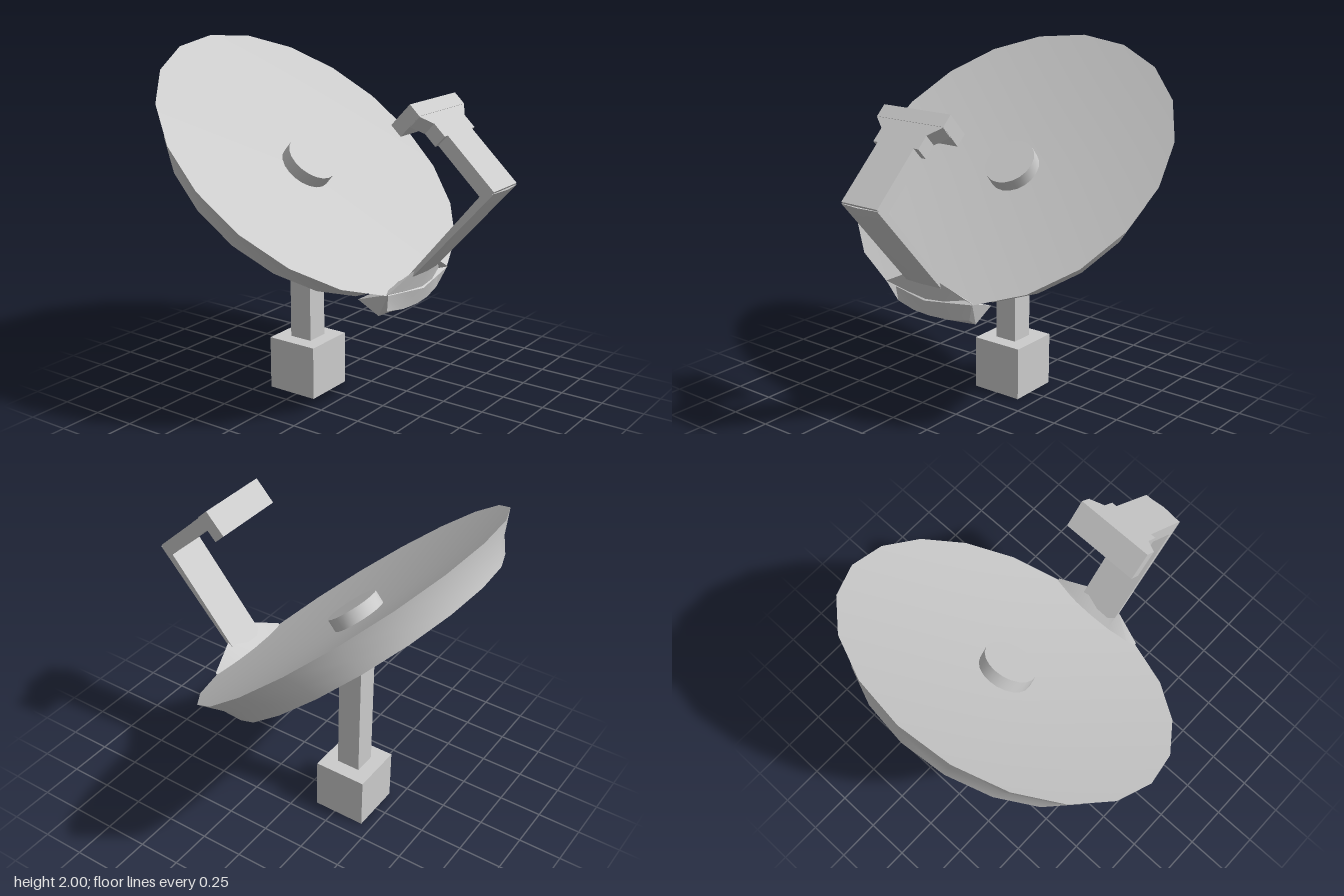
import * as THREE from 'three';
import { toCreasedNormals } from 'three/addons/utils/BufferGeometryUtils.js';

const material = new THREE.MeshStandardMaterial({ color: 0xcccccc });
const TILT = 0.704; // dish axis leans from +y towards +z

function add(parent, name, geometry, x = 0, y = 0, z = 0) {
  const mesh = new THREE.Mesh(geometry, material);
  mesh.name = name;
  mesh.position.set(x, y, z);
  parent.add(mesh);
  return mesh;
}

// Skin between equal-length cross-sections of [x, y, z], running from -x to +x
function loft(sections) {
  const verts = [];
  const tri = (...pts) => pts.forEach(p => verts.push(...p));
  const n = sections[0].length;
  for (let k = 0; k < sections.length - 1; k++) {
    const s = sections[k], t = sections[k + 1];
    for (let i = 0; i < n; i++) {
      const j = (i + 1) % n;
      tri(s[i], s[j], t[j]);
      tri(s[i], t[j], t[i]);
    }
  }
  const first = sections[0], last = sections[sections.length - 1];
  for (let i = 1; i < n - 1; i++) {
    tri(first[0], first[i + 1], first[i]);
    tri(last[0], last[i], last[i + 1]);
  }
  const geometry = new THREE.BufferGeometry();
  geometry.setAttribute('position', new THREE.Float32BufferAttribute(verts, 3));
  geometry.computeVertexNormals();
  return toCreasedNormals(geometry, 0.5);
}

// Mirror half a set of sections (ordered from the middle outwards)
function mirrored(half) {
  const flip = half.slice(1).reverse().map(s => s.map(([x, y, z]) => [-x, y, z]));
  return [...flip, ...half];
}

export function createModel() {
  const model = new THREE.Group();
  model.name = 'satelliteDish';

  // Base block and post, the post cut to the slope of the dish back
  add(model, 'base', new THREE.BoxGeometry(0.31, 0.31, 0.31), 0, 0.155, -0.28);
  const postGeometry = new THREE.BoxGeometry(0.135, 0.87, 0.14);
  const p = postGeometry.attributes.position;
  for (let i = 0; i < p.count; i++) {
    if (p.getY(i) > 0) p.setY(i, p.getY(i) - p.getZ(i) * 0.85);
  }
  postGeometry.computeVertexNormals();
  add(model, 'post', postGeometry, 0, 0.735, -0.28);

  // Tilted dish with shallow conical face, sloped wall and flat back
  const dish = new THREE.Group();
  dish.name = 'dishAssembly';
  dish.position.set(0, 1.38, -0.23);
  dish.rotation.x = TILT;
  model.add(dish);
  const profile = [[0, -0.196], [0.82, -0.196], [0.868, -0.106], [0.965, 0], [0, -0.1]]
    .map(([r, y]) => new THREE.Vector2(r, y));
  add(dish, 'reflector', toCreasedNormals(new THREE.LatheGeometry(profile, 20), 0.6));
  const hub = new THREE.CylinderGeometry(0.15, 0.15, 0.1, 20);
  add(dish, 'centreHub', toCreasedNormals(hub, 0.6), 0, -0.06, 0);

  // Bracket wrapped around the bottom edge of the dish
  add(model, 'armBracket', loft(mirrored([
    [[0, 0.87, 0.53], [0, 0.76, 0.495], [0, 0.66, 0.468], [0, 0.625, 0.385], [0, 0.70, 0.26], [0, 0.81, 0.42]],
    [[0.12, 0.885, 0.52], [0.12, 0.77, 0.485], [0.12, 0.66, 0.455], [0.12, 0.633, 0.384], [0.12, 0.70, 0.26], [0.12, 0.82, 0.44]],
    [[0.3, 0.795, 0.475], [0.27, 0.77, 0.435], [0.25, 0.68, 0.436], [0.25, 0.643, 0.383], [0.25, 0.71, 0.25], [0.28, 0.785, 0.43]],
  ])));

  // Lower arm, with a slightly bowed front
  const bar = (x, bow) => [
    [x, 1.37, 0.975 + bow], [x, 0.84, 0.5 + bow], [x, 0.82, 0.455], [x, 1.357, 0.905],
  ];
  add(model, 'lowerArm', loft(mirrored([bar(0, 0.012), bar(0.12, 0)])));

  // Upper arm, collar and flare as one outline; its plane slopes up towards the dish
  const receiver = new THREE.Group();
  receiver.name = 'receiver';
  receiver.rotation.x = -0.819;
  model.add(receiver);
  const right = [[0.12, 0.23], [0.12, 0.6], [0.15, 0.6], [0.15, 0.685], [0.22, 0.745], [0.22, 0.76]];
  const left = right.map(([x, y]) => [-x, y]).reverse();
  const outline = new THREE.Shape([...right, ...left].map(([x, y]) => new THREE.Vector2(x, y)));
  const armGeometry = new THREE.ExtrudeGeometry(outline, { depth: 0.08, bevelEnabled: false });
  add(receiver, 'upperArm', armGeometry, 0, 0, 1.593);

  // Receiver plate facing the dish
  add(receiver, 'receiverPlate', new THREE.BoxGeometry(0.442, 0.078, 0.16), 0, 0.787, 1.595);

  return model;
}
